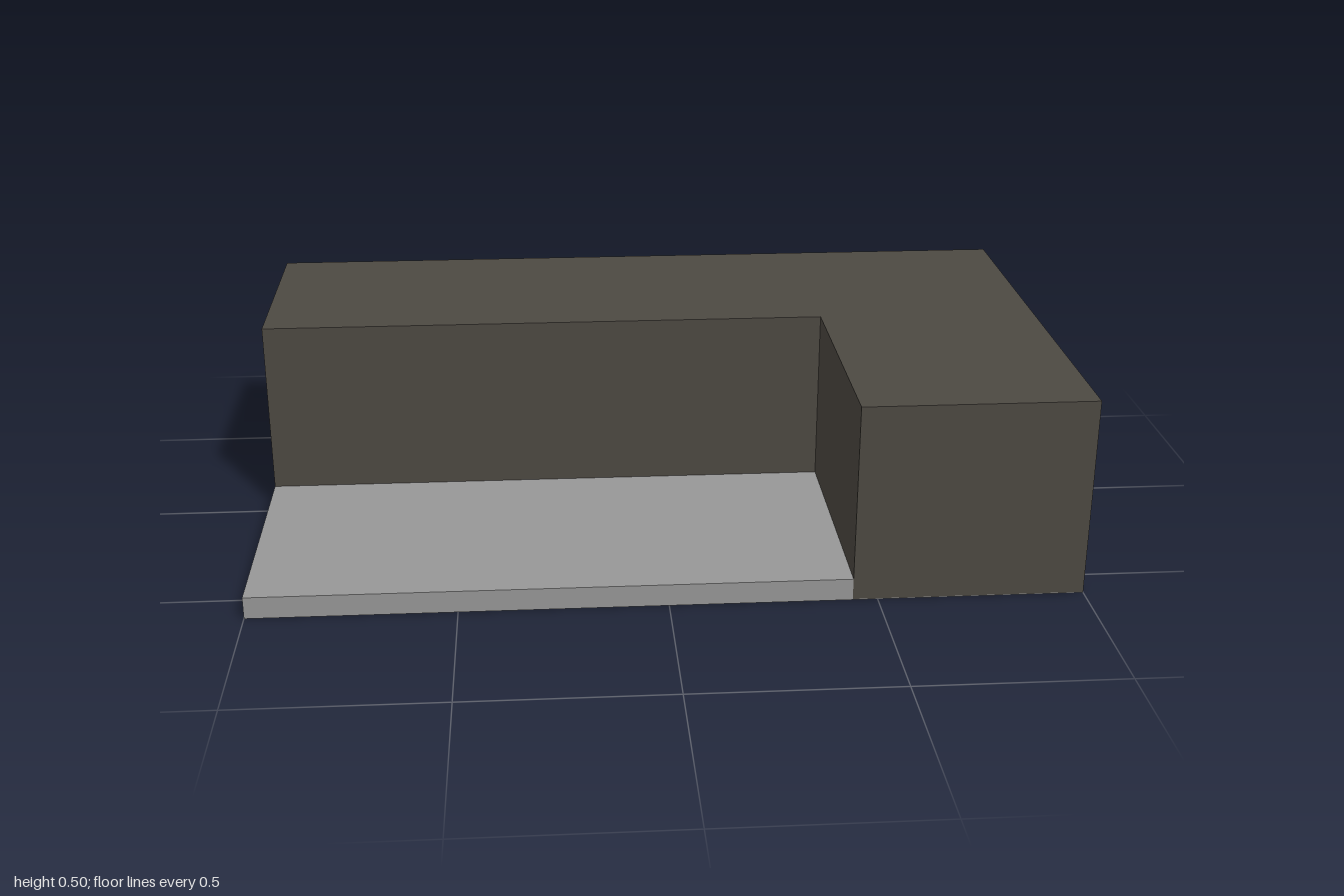
import * as THREE from 'three';

const HALF_X = 1, HALF_Z = 0.593;      // footprint
const HEIGHT = 0.497, YARD_HEIGHT = 0.055;
const YARD_X = 0.44, YARD_Z = -0.035;  // inner corner of the L
const PLATE = 0.002;                   // underside thickness

export function createModel() {
  const group = new THREE.Group();
  const wall = new THREE.MeshStandardMaterial({ color: 0x4d4942 });
  wall.name = 'dark brown grey';
  const paving = new THREE.MeshStandardMaterial({ color: 0x979797 });
  paving.name = 'light grey';

  const add = (name, geometry, material) => {
    const mesh = new THREE.Mesh(geometry, material);
    mesh.name = name;
    group.add(mesh);
  };

  // Box given by its lower and upper corners
  const box = (x0, y0, z0, x1, y1, z1) =>
    new THREE.BoxGeometry(x1 - x0, y1 - y0, z1 - z0)
      .translate((x0 + x1) / 2, (y0 + y1) / 2, (z0 + z1) / 2);

  // L-shaped block: plan drawn with y = -z, then extruded upwards
  const plan = new THREE.Shape([
    [-HALF_X, HALF_Z], [-HALF_X, -YARD_Z], [YARD_X, -YARD_Z],
    [YARD_X, -HALF_Z], [HALF_X, -HALF_Z], [HALF_X, HALF_Z],
  ].map(([x, y]) => new THREE.Vector2(x, y)));
  const block = new THREE.ExtrudeGeometry(plan, { depth: HEIGHT - PLATE, bevelEnabled: false });
  block.rotateX(-Math.PI / 2).translate(0, PLATE, 0);
  add('lShapedBlock', block, wall);

  // Low slab filling the notch
  add('yardSlab', box(-HALF_X, PLATE, YARD_Z, YARD_X, YARD_HEIGHT, HALF_Z), paving);

  // Base underside across the whole footprint
  add('baseUnderside', box(-HALF_X, 0, -HALF_Z, HALF_X, PLATE, HALF_Z), paving);

  return group;
}
